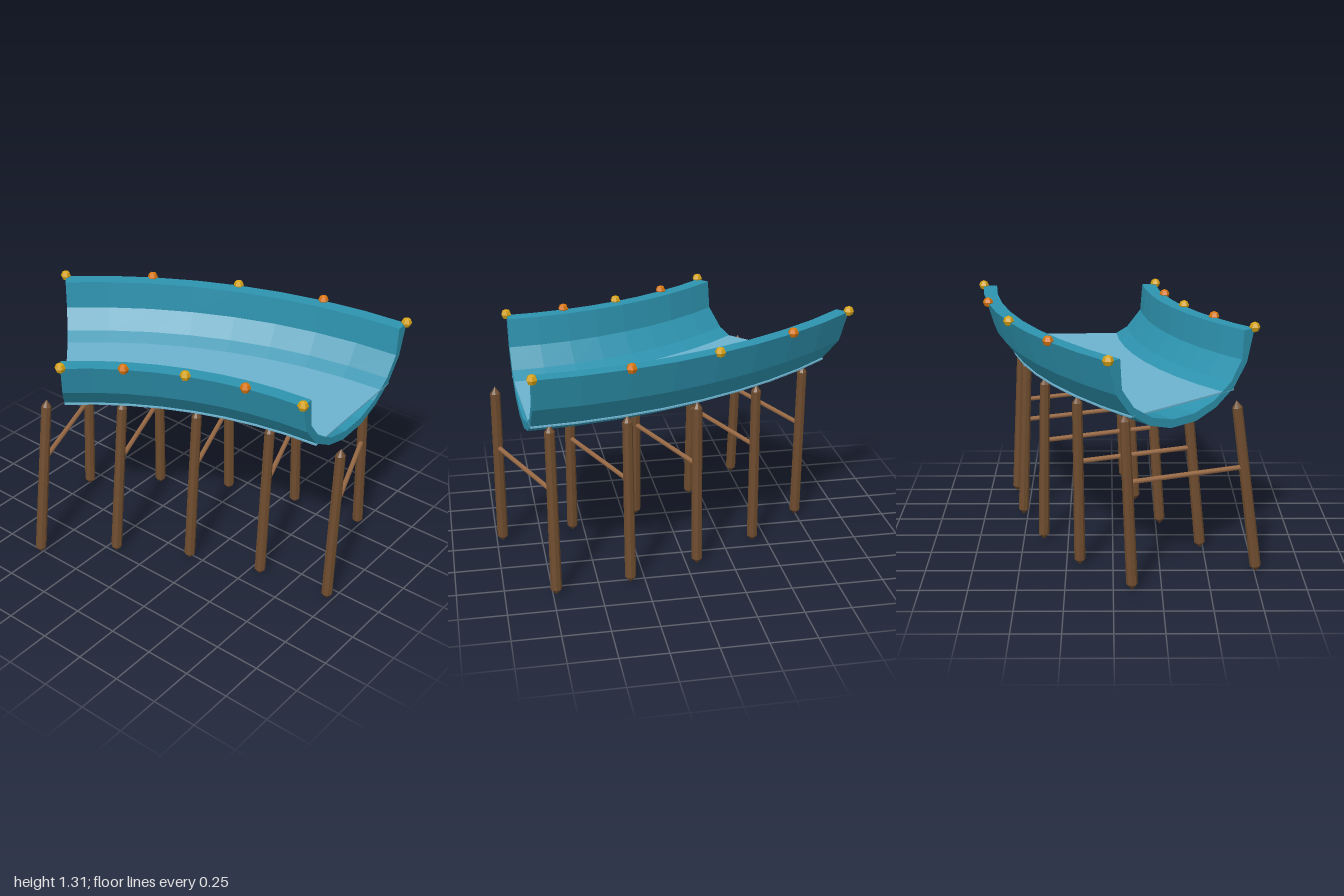
import * as THREE from 'three';

// Plan of the bend: centre, mid radius, start and end angle
const CX = -2.12, CZ = 0.965, RADIUS = 2.376;
const START = 0.0484, END = 0.734, STATIONS = 5;

const mat = (name, color, flatShading = false) => {
  const m = new THREE.MeshStandardMaterial({ color, flatShading });
  m.name = name;
  return m;
};

// Point at a sideways offset from the centre line, at a given angle
const onBend = (offset, y, angle) => new THREE.Vector3(
  CX + (RADIUS + offset) * Math.cos(angle), y, CZ - (RADIUS + offset) * Math.sin(angle));

// Extrudes a cross-section straight, then bends it round the centre
function bentExtrusion(points) {
  const shape = new THREE.Shape(points.map(([x, y]) => new THREE.Vector2(x, y)));
  const geo = new THREE.ExtrudeGeometry(shape, { depth: 1, steps: 8, bevelEnabled: false });
  const pos = geo.attributes.position;
  for (let i = 0; i < pos.count; i++) {
    const p = onBend(pos.getX(i), pos.getY(i), END + (START - END) * pos.getZ(i));
    pos.setXYZ(i, p.x, p.y, p.z);
  }
  geo.computeVertexNormals();
  return geo;
}

// Places a mesh of unit height so that it runs from a to b
function between(mesh, a, b) {
  const dir = b.clone().sub(a);
  mesh.scale.y = dir.length();
  mesh.position.copy(a);
  mesh.quaternion.setFromUnitVectors(new THREE.Vector3(0, 1, 0), dir.normalize());
  return mesh;
}

export function createModel() {
  const root = new THREE.Group();
  root.name = 'curvedSlide';
  const teal = mat('teal', 0x2d92ae);
  const water = mat('waterBlue', 0x6cb2ce);
  const wood = mat('darkWood', 0x6e4c2e, true);
  const lightWood = mat('lightWood', 0x996a45);
  const gold = mat('gold', 0xd6a317, true);
  const orange = mat('orange', 0xd9760f, true);

  const add = (name, geo, material, parent = root) => {
    const mesh = new THREE.Mesh(geo, material);
    mesh.name = name;
    parent.add(mesh);
    return mesh;
  };

  // Trough: half profile from the outer bottom up over the rim to the inner bottom
  const outer = [[0.09, 0.857], [0.235, 0.9], [0.366, 0.98], [0.463, 1.1], [0.515, 1.275]];
  const inner = [[0.437, 1.275], [0.425, 1.12], [0.345, 1.015], [0.22, 0.938], [0.075, 0.9]];
  const half = [...outer, ...inner];
  const mirrored = half.map(([x, y]) => [-x, y]).reverse();
  add('trough', bentExtrusion([...half, ...mirrored]), teal);

  // Water sheet, its edges just showing through the walls
  add('water', bentExtrusion([[-0.368, 0.967], [0.368, 0.967], [0.368, 0.975], [-0.368, 0.975]]), water);

  // Leg with pointed ends, unit height
  const legGeo = new THREE.LatheGeometry(
    [[0, 0], [0.03, 0.035], [0.027, 0.96], [0, 1]].map(([x, y]) => new THREE.Vector2(x, y)), 8);
  const braceGeo = new THREE.CylinderGeometry(0.013, 0.013, 1, 8).translate(0, 0.5, 0);
  const ballGeo = new THREE.SphereGeometry(0.029, 6, 4);

  for (let i = 0; i < STATIONS; i++) {
    const angle = START + (END - START) * i / (STATIONS - 1);
    const mid = onBend(0, 0, angle);
    const support = new THREE.Group();
    support.name = 'support' + (i + 1);
    root.add(support);

    // Pair of splayed legs and the brace between them
    const braceEnds = [];
    for (const side of [-1, 1]) {
      const x = mid.x + side * 0.295, z = mid.z - side * 0.1175;
      const splay = -0.035 + 0.145 * x;
      const top = new THREE.Vector3(x - 0.15 * splay, 0.95, z);
      const foot = new THREE.Vector3(x + 0.85 * splay, 0.002, z);
      between(add('leg', legGeo, wood, support), foot, top);
      braceEnds.push(foot.clone().lerp(top, 0.62));
    }
    between(add('brace', braceGeo, lightWood, support), ...braceEnds);

    // Balls on both rims, alternating in colour
    for (const side of [-1, 1]) {
      add('rimBall', ballGeo, i % 2 ? orange : gold).position.copy(onBend(side * 0.515, 1.28, angle));
    }
  }
  return root;
}
